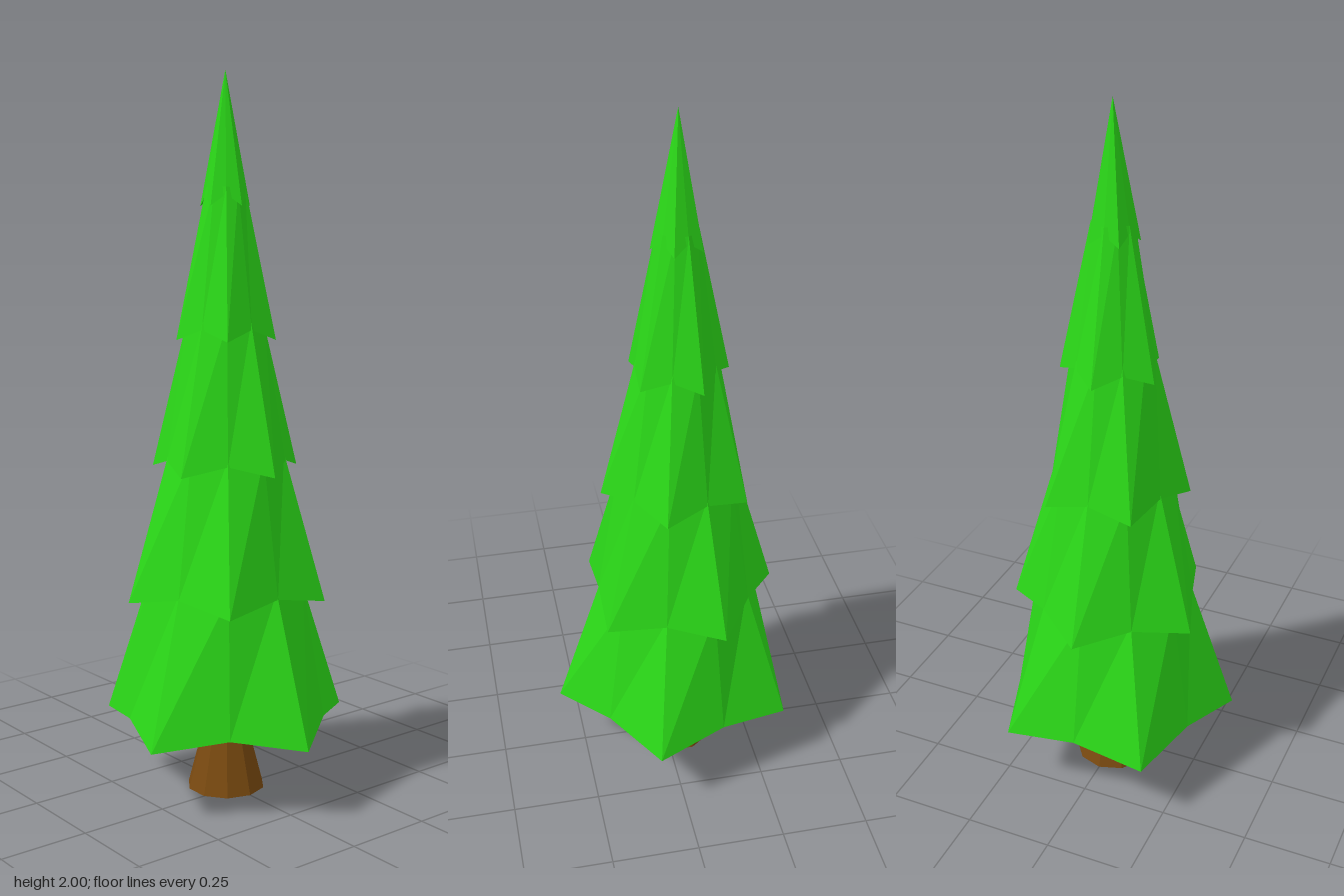
import * as THREE from 'three';

const SIDES = 10;
const TIERS = 5;
const STEP = 0.36;
const AXIS_Z = -0.035;

// Point on a ring; angle 0 faces the front (+z) and grows towards +x
const ringPoint = (i, r, y) => {
  const a = (i / SIDES) * Math.PI * 2;
  return [r * Math.sin(a), y, r * Math.cos(a)];
};

// One skirt of foliage: star-shaped hem, round top, hollow underside
function tierGeometry(level) {
  const tipR = 0.0712 * (TIERS - level);
  const tipY = 0.2 + STEP * level;
  const last = level === TIERS - 1;
  const topR = last ? 0 : 0.78 * (tipR - 0.0712);
  const topY = last ? 2 : tipY + STEP + 0.05;
  const core = [0, tipY + 0.12, 0];
  const positions = [];
  const tri = (...points) => points.forEach((p) => positions.push(...p));

  // Tips alternate with valleys; every other tier is turned by half a step
  const hem = (i) => ((i + level) % 2 === 0
    ? ringPoint(i, tipR, tipY)
    : ringPoint(i, tipR * 0.8, tipY + 0.03));
  const top = (i) => ringPoint(i, topR, topY);

  for (let i = 0; i < SIDES; i++) {
    const j = i + 1;
    tri(hem(i), hem(j), top(j));
    if (!last) tri(hem(i), top(j), top(i));
    tri(hem(j), hem(i), core);
  }
  const geometry = new THREE.BufferGeometry();
  geometry.setAttribute('position', new THREE.Float32BufferAttribute(positions, 3));
  geometry.computeVertexNormals();
  return geometry;
}

export function createModel() {
  const tree = new THREE.Group();
  tree.name = 'pineTree';
  const green = new THREE.MeshStandardMaterial({ color: 0x2bd918, flatShading: true });
  const brown = new THREE.MeshStandardMaterial({ color: 0x7a4a10, flatShading: true });

  // Flared trunk, closed at the foot
  const profile = [[0, 0], [0.111, 0], [0.066, 0.17], [0.06, 0.36]];
  const trunk = new THREE.Mesh(
    new THREE.LatheGeometry(profile.map(([r, y]) => new THREE.Vector2(r, y)), SIDES),
    brown,
  );
  trunk.name = 'trunk';
  trunk.position.z = AXIS_Z;
  tree.add(trunk);

  // Foliage from the widest tier up to the pointed crown
  const foliage = new THREE.Group();
  foliage.name = 'foliage';
  foliage.position.z = AXIS_Z;
  for (let level = 0; level < TIERS; level++) {
    const tier = new THREE.Mesh(tierGeometry(level), green);
    tier.name = `foliageTier${level + 1}`;
    foliage.add(tier);
  }
  tree.add(foliage);
  return tree;
}
